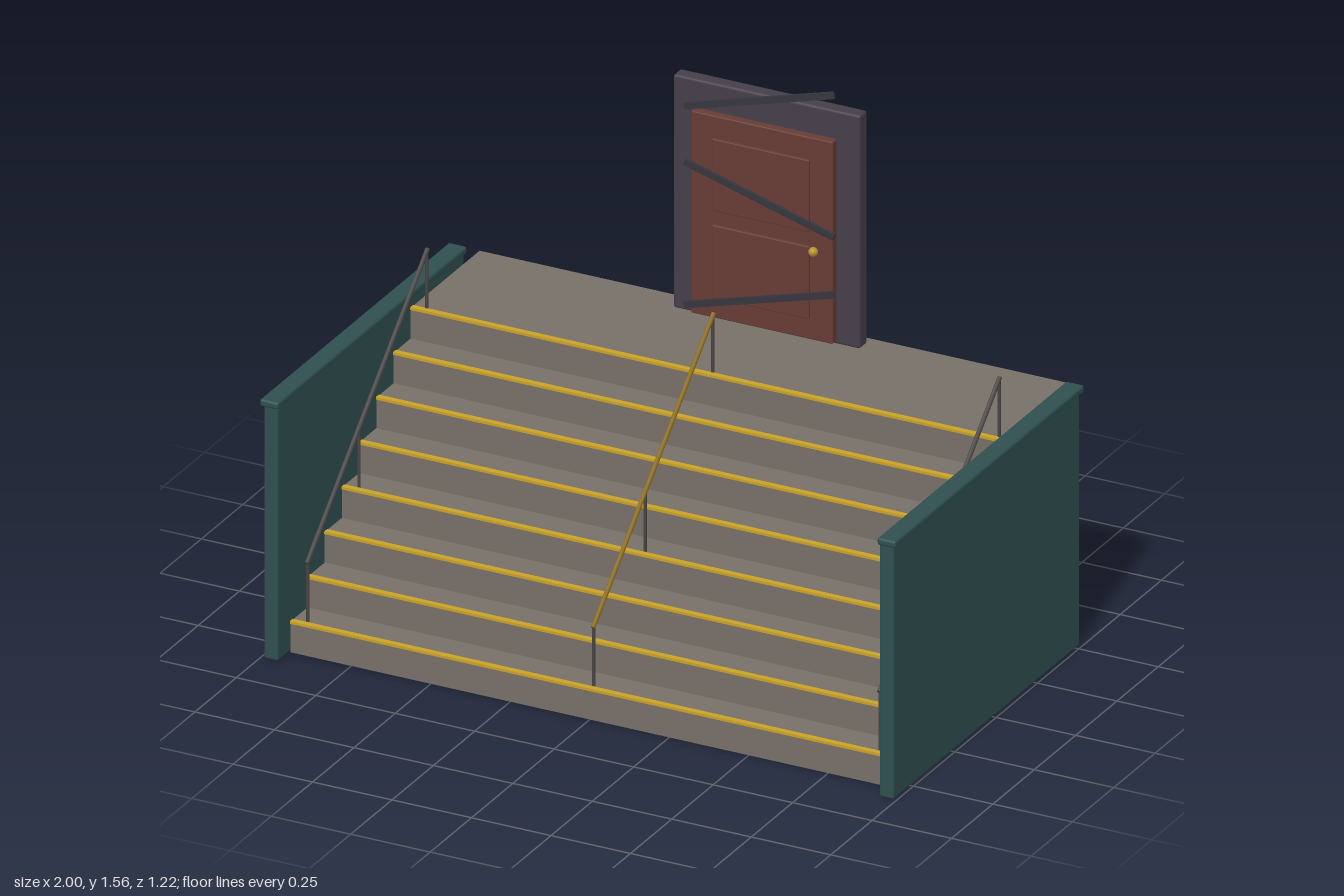
import * as THREE from 'three';
import { RoundedBoxGeometry } from 'three/addons/geometries/RoundedBoxGeometry.js';

function paint(name, color) {
  const m = new THREE.MeshStandardMaterial({ color });
  m.name = name;
  return m;
}

export function createModel() {
  const stone = paint('stone', 0x787069);
  const teal = paint('teal', 0x2f4f4f);
  const yellow = paint('yellow', 0xc9a227);
  const charcoal = paint('charcoal', 0x453e4a);
  const wood = paint('wood', 0x673c35);
  const iron = paint('iron', 0x4a4545);
  const plankGrey = paint('plankGrey', 0x37363e);
  const brass = paint('brass', 0xb8902a);
  const oldGold = paint('oldGold', 0x8b6b16);

  const model = new THREE.Group();
  model.name = 'staircaseWithBoardedDoor';

  function add(name, geometry, material, x = 0, y = 0, z = 0) {
    const mesh = new THREE.Mesh(geometry, material);
    mesh.name = name;
    mesh.position.set(x, y, z);
    model.add(mesh);
    return mesh;
  }
  // Box given by its limits on each axis, with an optional softened edge
  function block(name, material, [x0, x1], [y0, y1], [z0, z1], radius = 0) {
    const size = [x1 - x0, y1 - y0, z1 - z0];
    const geometry = radius ? new RoundedBoxGeometry(...size, 2, radius) : new THREE.BoxGeometry(...size);
    return add(name, geometry, material, (x0 + x1) / 2, (y0 + y1) / 2, (z0 + z1) / 2);
  }
  // Round bar between two points
  function bar(name, material, a, b, radius) {
    const dir = b.clone().sub(a);
    const mesh = add(name, new THREE.CylinderGeometry(radius, radius, dir.length(), 8), material);
    mesh.position.copy(a).add(b).multiplyScalar(0.5);
    mesh.quaternion.setFromUnitVectors(new THREE.Vector3(0, 1, 0), dir.normalize());
  }

  // Stair body: stepped side profile extruded across the width
  const steps = 8, rise = 0.0945, going = 0.104, front = 0.535, back = -0.61, half = 0.942;
  const profile = new THREE.Shape();
  profile.moveTo(back, 0);
  profile.lineTo(front, 0);
  for (let i = 0; i < steps; i++) {
    const z = front - i * going;
    profile.lineTo(z, (i + 1) * rise);
    profile.lineTo(i < steps - 1 ? z - going : back, (i + 1) * rise);
  }
  profile.closePath();
  const stairs = add('stairs', new THREE.ExtrudeGeometry(profile, { depth: half * 2, bevelEnabled: false }), stone, half);
  stairs.rotation.y = -Math.PI / 2;

  // Yellow nosing on every step
  for (let i = 0; i < steps; i++) {
    const z = front - i * going, y = (i + 1) * rise;
    block('stepNosing', yellow, [-half, half], [y - 0.005, y + 0.003], [z - 0.015, z + 0.003]);
  }

  // Side walls with caps
  for (const s of [-1, 1]) {
    const wall = block('sideWall', teal, [-0.022, 0.022], [0, 0.785], [-0.525, 0.602], 0.005);
    wall.position.x = s * 0.968;
    const cap = block('wallCap', teal, [-0.029, 0.029], [0.78, 0.802], [-0.535, 0.61], 0.007);
    cap.position.x = s * 0.971;
  }

  // Handrails, each on three posts
  const railY = z => 0.28 + (0.51 - z) * 0.91;
  for (const x of [-0.9, 0, 0.9]) {
    const point = (y, z) => new THREE.Vector3(x, y, z);
    bar('handrail', x === 0 ? oldGold : iron, point(railY(0.515), 0.515), point(railY(-0.215), -0.215), 0.007);
    for (const z of [0.51, 0.2, -0.21]) {
      const tread = Math.floor((front - z) / going) + 1;
      bar('railPost', iron, point(tread * rise, z), point(railY(z), z), 0.005);
    }
  }

  // Door in its frame
  block('doorFrame', charcoal, [-0.295, 0.293], [0.755, 1.477], [-0.58, -0.535], 0.008);
  block('door', wood, [-0.225, 0.22], [0.765, 1.39], [-0.54, -0.51], 0.004);
  for (const [y0, y1] of [[0.83, 1.055], [1.1, 1.322]]) {
    block('doorPanel', wood, [-0.155, 0.15], [y0, y1], [-0.515, -0.501], 0.003);
  }
  add('doorKnob', new THREE.SphereGeometry(0.014, 16, 12), brass, 0.166, 1.045, -0.497);

  // Boards nailed across the door
  for (const [yLeft, yRight] of [[1.412, 1.548], [1.24, 1.108], [0.797, 0.931]]) {
    const length = Math.hypot(0.47, yRight - yLeft);
    const board = add('board', new THREE.BoxGeometry(length, 0.02, 0.009), plankGrey, 0, (yLeft + yRight) / 2, -0.49);
    board.rotation.z = Math.atan2(yRight - yLeft, 0.47);
  }
  return model;
}
